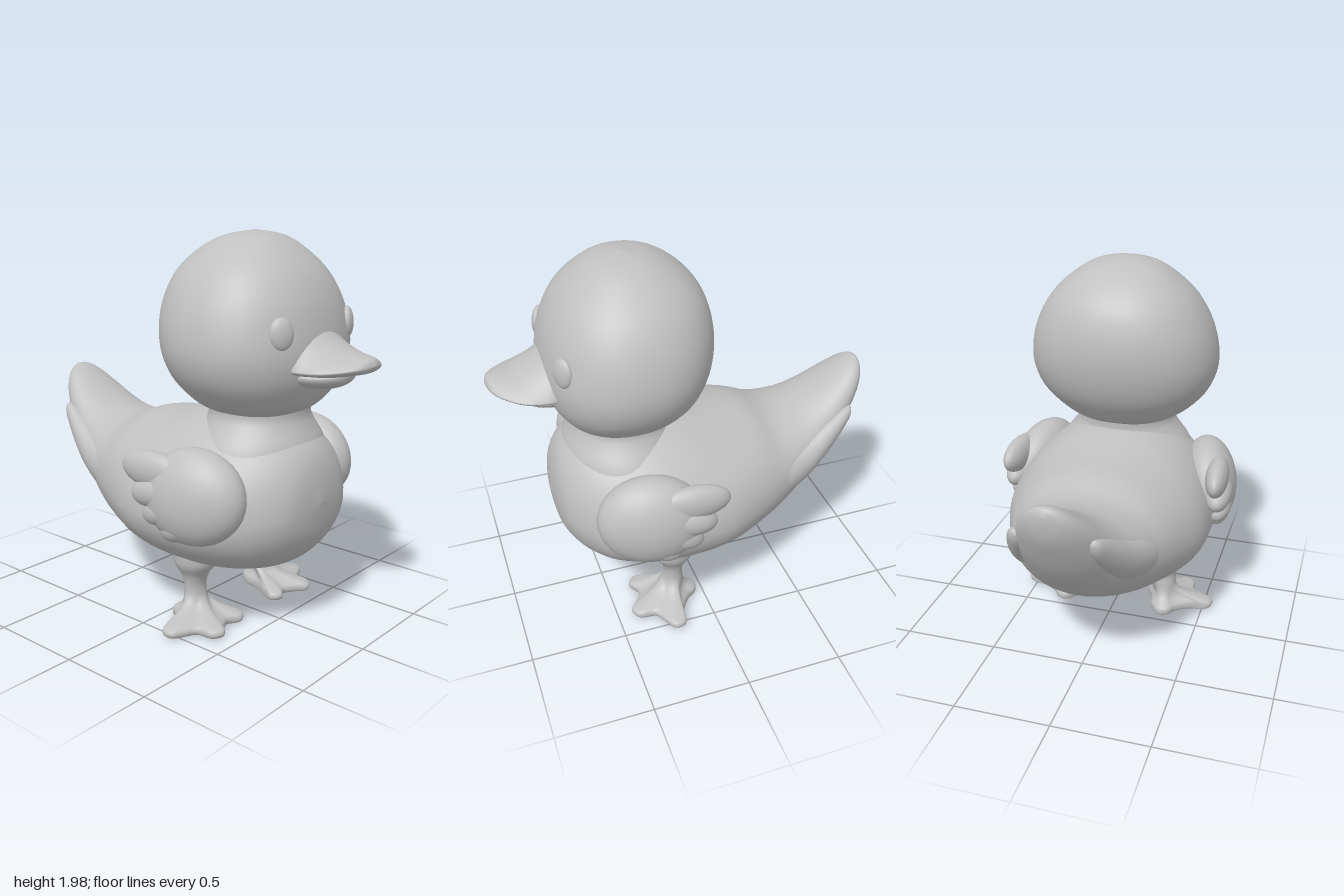
import * as THREE from 'three';

// Catmull-Rom through rows of numbers, n steps per span
function smoothRows(rows, n = 5) {
  const out = [];
  const last = rows.length - 1;
  for (let s = 0; s <= last * n; s++) {
    const i = Math.min(Math.floor(s / n), last - 1), t = s / n - i;
    const [a, b, c, d] = [i - 1, i, i + 1, i + 2].map((k) => rows[Math.max(0, Math.min(last, k))]);
    out.push(b.map((_, k) => 0.5 * (2 * b[k] + (c[k] - a[k]) * t
      + (2 * a[k] - 5 * b[k] + 4 * c[k] - d[k]) * t * t
      + (3 * b[k] - a[k] - 3 * c[k] + d[k]) * t * t * t)));
  }
  return out;
}

// Closed skin over cross-sections; point(row, angle) gives [x, y, z]
function loft(rows, point, seg = 48) {
  const rings = smoothRows(rows).map((r) =>
    Array.from({ length: seg }, (_, j) => point(r, (j / seg) * Math.PI * 2)));
  const pos = rings.flat();
  const index = [];
  for (let i = 0; i < rings.length - 1; i++) {
    for (let j = 0; j < seg; j++) {
      const a = i * seg + j, b = i * seg + ((j + 1) % seg);
      index.push(a, b, a + seg, b, b + seg, a + seg);
    }
  }
  for (const [r, flip] of [[0, false], [rings.length - 1, true]]) {
    const centre = [0, 1, 2].map((k) => rings[r].reduce((s, p) => s + p[k], 0) / seg);
    const c = pos.push(centre) - 1;
    for (let j = 0; j < seg; j++) {
      const a = r * seg + j, b = r * seg + ((j + 1) % seg);
      index.push(...(flip ? [c, a, b] : [c, b, a]));
    }
  }
  // Face outward whatever the direction of the rows
  let volume = 0;
  const v = pos.map((p) => new THREE.Vector3(...p));
  for (let i = 0; i < index.length; i += 3) {
    volume += v[index[i]].dot(v[index[i + 1]].clone().cross(v[index[i + 2]]));
  }
  if (volume < 0) index.reverse();
  const g = new THREE.BufferGeometry();
  g.setAttribute('position', new THREE.Float32BufferAttribute(pos.flat(), 3));
  g.setIndex(index);
  g.computeVertexNormals();
  return g;
}

const power = (v, e) => Math.sign(v) * Math.abs(v) ** e;

// Section across z: [z, bottom, middle, top, half width, x centre]
const alongZ = ([z, bottom, mid, top, rx, cx = 0], a) => {
  const s = Math.sin(a);
  return [cx + Math.max(0, rx) * Math.cos(a), mid + s * (s > 0 ? top - mid : mid - bottom), z];
};

// Section across y: [y, half width, back z, front z], slightly squared by e
const alongY = (e) => ([y, rx, back, front], a) => [
  Math.max(0, rx) * power(Math.cos(a), e), y,
  (back + front) / 2 + Math.max(0, (front - back) / 2) * power(Math.sin(a), e)];

export function createModel() {
  const duck = new THREE.Group();
  duck.name = 'duckling';
  const grey = new THREE.MeshStandardMaterial({ color: 0xc0c0c0 });
  grey.name = 'plain grey';

  const add = (name, geometry, parent = duck) => {
    const m = new THREE.Mesh(geometry, grey);
    m.name = name;
    parent.add(m);
    return m;
  };
  const ball = (name, p, r, rot, parent) => {
    const m = add(name, new THREE.SphereGeometry(1, 32, 20), parent);
    m.position.set(...p);
    m.scale.set(...r);
    m.rotation.set(...rot);
    return m;
  };

  // Body running back into the raised tail
  add('bodyAndTail', loft([
    [0.74, 0.70, 0.70, 0.72, 0.01],
    [0.72, 0.55, 0.68, 0.85, 0.18],
    [0.68, 0.46, 0.66, 0.95, 0.28],
    [0.60, 0.375, 0.64, 1.03, 0.38],
    [0.48, 0.32, 0.62, 1.08, 0.47],
    [0.30, 0.285, 0.62, 1.11, 0.53],
    [0.10, 0.278, 0.62, 1.10, 0.545],
    [-0.10, 0.30, 0.63, 1.055, 0.53],
    [-0.30, 0.345, 0.66, 1.025, 0.455],
    [-0.45, 0.405, 0.69, 0.975, 0.385],
    [-0.60, 0.50, 0.76, 0.985, 0.31],
    [-0.72, 0.62, 0.85, 1.035, 0.25],
    [-0.84, 0.765, 0.95, 1.11, 0.20],
    [-0.93, 0.91, 1.04, 1.165, 0.145],
    [-0.98, 1.01, 1.10, 1.175, 0.085],
    [-1.00, 1.10, 1.12, 1.14, 0.01],
  ], alongZ, 56));

  add('neck', loft([
    [0.85, 0.40, 0.00, 0.68], [0.97, 0.35, 0.05, 0.655], [1.06, 0.285, 0.09, 0.615],
    [1.12, 0.26, 0.10, 0.60], [1.22, 0.27, 0.09, 0.61],
  ], alongY(1)));

  add('head', loft([
    [1.09, 0.01, 0.33, 0.35],
    [1.105, 0.18, 0.18, 0.53],
    [1.14, 0.28, 0.09, 0.605],
    [1.20, 0.37, 0.03, 0.665],
    [1.30, 0.455, -0.045, 0.72],
    [1.42, 0.495, -0.092, 0.742],
    [1.55, 0.487, -0.11, 0.73],
    [1.68, 0.445, -0.095, 0.695],
    [1.80, 0.37, -0.045, 0.63],
    [1.90, 0.26, 0.055, 0.53],
    [1.96, 0.15, 0.17, 0.435],
    [1.985, 0.01, 0.30, 0.32],
  ], alongY(0.9), 64));

  // Upper bill peaks in the middle and flattens towards the tip
  add('upperBill', loft([
    [0.60, 1.34, 1.375, 1.58, 0.20, 0],
    [0.70, 1.335, 1.375, 1.555, 0.232, 0],
    [0.77, 1.34, 1.375, 1.505, 0.228, 0],
    [0.85, 1.345, 1.38, 1.462, 0.208, 0],
    [0.93, 1.36, 1.39, 1.447, 0.15, 0],
    [0.98, 1.375, 1.40, 1.438, 0.085, 0],
    [1.00, 1.40, 1.405, 1.41, 0.01, 0],
  ], (r, a) => {
    const [x, y, z] = alongZ(r, a), s = Math.sin(a);
    return [x, s > 0 ? r[2] + (r[3] - r[2]) * s ** 1.7 : y, z];
  }));
  add('lowerBill', loft([
    [0.60, 1.26, 1.34, 1.37, 0.17], [0.72, 1.27, 1.34, 1.37, 0.185],
    [0.80, 1.28, 1.34, 1.36, 0.15], [0.85, 1.305, 1.34, 1.355, 0.08],
    [0.865, 1.335, 1.34, 1.345, 0.005],
  ], alongZ));

  // Foot outline of the left side: heel, then three webbed toes
  const outline = new THREE.CatmullRomCurve3([
    [0.28, 0.035], [0.225, 0.09], [0.20, 0.19], [0.145, 0.29], [0.125, 0.35], [0.17, 0.385],
    [0.24, 0.35], [0.31, 0.385], [0.36, 0.425], [0.415, 0.395], [0.43, 0.31], [0.49, 0.275],
    [0.55, 0.235], [0.54, 0.175], [0.45, 0.155], [0.36, 0.095], [0.33, 0.05],
  ].map(([x, z]) => new THREE.Vector3(x, 0, z)), true);

  for (const side of [1, -1]) {
    const label = side > 0 ? 'left' : 'right';
    const mirrored = (rows, point, seg) => loft(rows, (r, a) => {
      const [x, y, z] = point(r, a);
      return [side * x, y, z];
    }, seg);

    // Eye
    ball(label + 'Eye', [side * 0.27, 1.548, 0.672], [0.06, 0.076, 0.03], [-0.08, side * 0.5, 0]);

    // Wing: a plump pad with three overlapping feather tips
    const wing = new THREE.Group();
    wing.name = label + 'Wing';
    duck.add(wing);
    ball('wingPad', [side * 0.48, 0.765, 0.335], [0.15, 0.237, 0.27], [0, -side * 0.2, side * 0.12], wing);
    for (const [x, y, z, thick, high, long, tilt] of [
      [0.555, 0.875, 0.145, 0.062, 0.095, 0.19, 0.03],
      [0.56, 0.775, 0.175, 0.075, 0.08, 0.155, -0.2],
      [0.555, 0.69, 0.22, 0.075, 0.075, 0.135, -0.35],
      [0.53, 0.62, 0.29, 0.08, 0.075, 0.11, -0.5],
    ]) {
      ball('wingFeather', [side * x, y, z], [thick, high, long], [tilt, -side * 0.08, 0], wing);
    }

    // Short feather beside the tail
    add(label + 'TailFeather', mirrored([
      [-0.30, 0.55, 0.70, 0.85, 0.12, 0.30],
      [-0.45, 0.56, 0.70, 0.84, 0.13, 0.255],
      [-0.60, 0.63, 0.75, 0.865, 0.11, 0.23],
      [-0.72, 0.73, 0.83, 0.92, 0.08, 0.215],
      [-0.82, 0.84, 0.91, 0.97, 0.05, 0.20],
      [-0.87, 0.91, 0.95, 0.985, 0.03, 0.19],
      [-0.885, 0.955, 0.96, 0.965, 0.005, 0.185],
    ], alongZ, 28));

    // Webbed foot rising into the leg: [y, outline scale, roundness, leg rx, leg rz]
    add(label + 'LegAndFoot', mirrored([
      [0.01, 0.88, 0, 0.07, 0.06], [0.018, 0.97, 0, 0.07, 0.06], [0.038, 1, 0, 0.07, 0.06],
      [0.058, 0.95, 0.02, 0.07, 0.06], [0.078, 0.78, 0.15, 0.07, 0.06],
      [0.10, 0.62, 0.40, 0.07, 0.06], [0.13, 0.5, 0.75, 0.068, 0.056],
      [0.17, 0.4, 1, 0.065, 0.053], [0.22, 0.4, 1, 0.066, 0.052],
      [0.27, 0.4, 1, 0.078, 0.07], [0.33, 0.4, 1, 0.11, 0.11], [0.40, 0.4, 1, 0.12, 0.12],
    ], ([y, scale, round, rx, rz], a) => {
      const p = outline.getPoint(a / (Math.PI * 2)), cx = 0.28, cz = 0.165;
      const fx = cx + (p.x - cx) * scale, fz = cz + (p.z - cz) * scale;
      const lx = cx - rx * Math.sin(a), lz = cz - rz * Math.cos(a);
      return [fx + (lx - fx) * round, y, fz + (lz - fz) * round];
    }, 72));
  }
  return duck;
}
